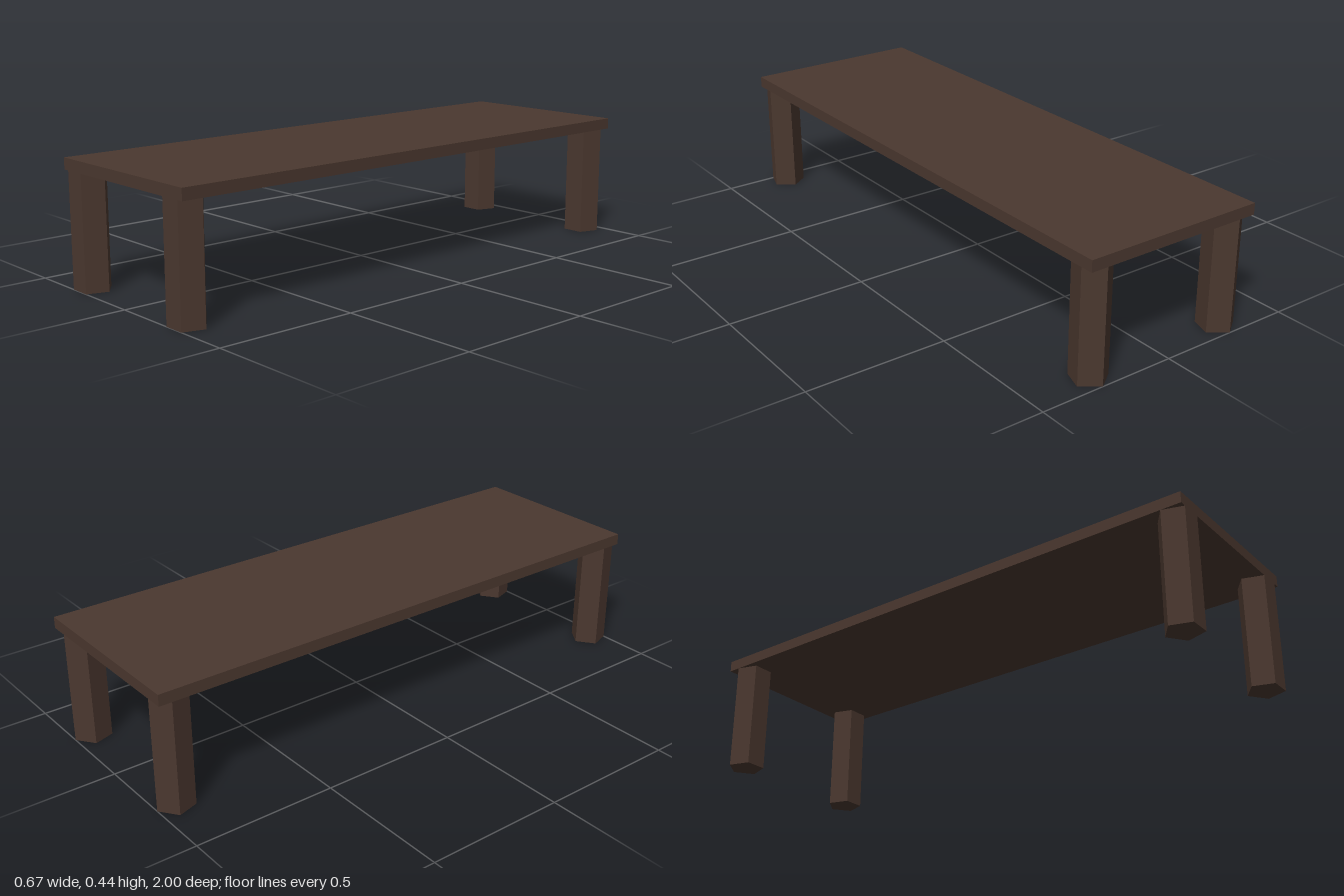
import * as THREE from 'three';

export function createModel() {
  const table = new THREE.Group();
  table.name = 'table';

  const darkWood = new THREE.MeshStandardMaterial({ color: 0x4b382f });
  darkWood.name = 'darkWood';

  const width = 0.666, length = 2, legHeight = 0.4, topThickness = 0.04;

  // Flat slab top
  const top = new THREE.Mesh(new THREE.BoxGeometry(width, topThickness, length), darkWood);
  top.name = 'tableTop';
  top.position.y = legHeight + topThickness / 2;
  table.add(top);

  // Five-sided legs, all with a flat face to the front and a corner to the back
  const r = 0.0657;
  const legShape = new THREE.CylinderGeometry(r, r, legHeight, 5, 1, false, Math.PI).toNonIndexed();
  legShape.computeVertexNormals();
  const legX = width / 2 - r * Math.sin(Math.PI * 0.4);
  const rows = [
    ['front', length / 2 - r * Math.cos(Math.PI / 5)],
    ['back', -length / 2 + r],
  ];
  for (const [row, z] of rows) {
    for (const side of [1, -1]) {
      const leg = new THREE.Mesh(legShape, darkWood);
      leg.name = row + (side > 0 ? 'Left' : 'Right') + 'Leg';
      leg.position.set(side * legX, legHeight / 2, z);
      table.add(leg);
    }
  }
  return table;
}
